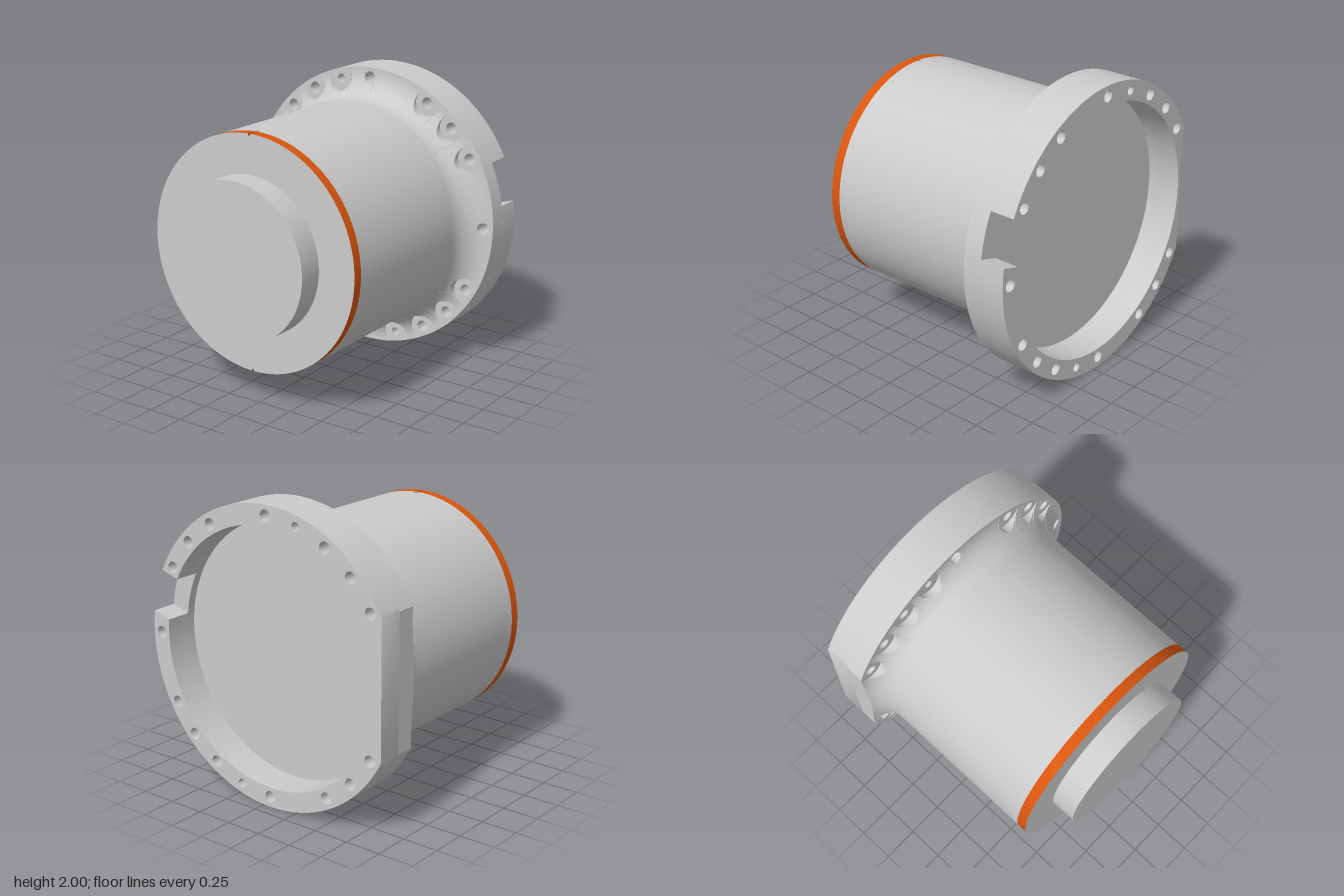
import * as THREE from 'three';
import { toCreasedNormals } from 'three/addons/utils/BufferGeometryUtils.js';

const grey = new THREE.MeshStandardMaterial({ color: 0xcccccc });
const orange = new THREE.MeshStandardMaterial({ color: 0xd9560f });
const rad = THREE.MathUtils.degToRad;

// Main radii, and depths along the axis
const R = 1, FLAT = 0.89, BARREL = 0.795, RECESS = 0.865;
const FACE = -0.61, FLOOR = -0.68, SLOT = -0.74, REAR = -0.915;
const FILLET = 0.18, PITCH = 0.93, BOLT = 0.04, SPOT = 0.09;

// Bolt pattern in degrees
const spotted = [30, 45, 60, 120, 135, 150, 210, 225, 240, 300, 315, 330];
const plain = [0, 90, 270];
const small = [105, 285];

const circle = (r, Type = THREE.Shape, x = 0, y = 0) => {
  const c = new Type();
  c.absarc(x, y, r, 0, Math.PI * 2, false);
  return c;
};

function slab(name, shape, z0, z1, material = grey) {
  const geo = new THREE.ExtrudeGeometry(shape, { depth: z1 - z0, bevelEnabled: false, curveSegments: 36 });
  geo.translate(0, 0, z0);
  const mesh = new THREE.Mesh(toCreasedNormals(geo, 0.5), material);
  mesh.name = name;
  return mesh;
}

function addBolts(shape) {
  const drill = (deg, r) => shape.holes.push(
    circle(r, THREE.Path, PITCH * Math.cos(rad(deg)), PITCH * Math.sin(rad(deg))));
  [...spotted, ...plain].forEach(a => drill(a, BOLT));
  small.forEach(a => drill(a, 0.03));
  return shape;
}

// Round flange with one flat side at -x
const flatAngle = Math.acos(-FLAT / R);
function flangeShape() {
  const s = new THREE.Shape();
  s.absarc(0, 0, R, -flatAngle, flatAngle, false);
  s.closePath();
  return addBolts(s);
}

// Rear rim, broken by a parallel-sided slot
function slottedRim() {
  const mid = rad(16.75), half = 0.152;
  const o = Math.asin(half / R), i = Math.asin(half / RECESS);
  const s = new THREE.Shape();
  s.absarc(0, 0, R, mid + o, flatAngle, false);
  s.absarc(0, 0, R, 2 * Math.PI - flatAngle, 2 * Math.PI + mid - o, false);
  s.absarc(0, 0, RECESS, 2 * Math.PI + mid - i, mid + i, true);
  s.closePath();
  return addBolts(s);
}

// Barrel end section with a fine index groove at top and bottom
function groovedCircle() {
  const w = 0.008 / BARREL, depth = 0.012;
  const s = new THREE.Shape();
  for (const a of [-Math.PI / 2, Math.PI / 2]) {
    s.absarc(0, 0, BARREL, a + w, a + Math.PI - w, false);
    for (const k of [-w, w]) {
      s.lineTo((BARREL - depth) * Math.cos(a + Math.PI + k), (BARREL - depth) * Math.sin(a + Math.PI + k));
    }
  }
  s.closePath();
  return s;
}

// Concave fillet between barrel and flange, cut away round the bolt seats
function filletGeometry() {
  const cuts = [
    ...[...spotted, ...small].map(a => ({ mid: rad(a), a: SPOT })),
    ...plain.map(a => ({ mid: rad(a), a: BOLT })),
  ].map(c => ({ ...c, half: Math.asin(c.a / PITCH) }));
  const delta = (t, mid) => Math.atan2(Math.sin(t - mid), Math.cos(t - mid));

  const angles = [0, 2 * Math.PI];
  for (let d = 2; d < 360; d += 2) {
    if (cuts.every(c => Math.abs(delta(rad(d), c.mid)) > c.half)) angles.push(rad(d));
  }
  for (const c of cuts) {
    for (let k = -8; k <= 8; k++) angles.push(c.mid + c.half * Math.sin(k / 8 * Math.PI / 2));
    angles.push(c.mid - c.half * 1.002, c.mid + c.half * 1.002);
  }
  const sorted = angles.map(t => (t < 0 ? t + 2 * Math.PI : t)).sort((a, b) => a - b);

  const outer = BARREL + FILLET, rows = 12, pos = [], index = [];
  sorted.forEach((t, i) => {
    let r = outer;
    if (Math.cos(t) < 0) r = Math.min(r, -FLAT / Math.cos(t));
    for (const c of cuts) {
      const f = delta(t, c.mid);
      if (Math.abs(f) <= c.half + 1e-6) {
        const root = Math.sqrt(Math.max(0, c.a ** 2 - (PITCH * Math.sin(f)) ** 2));
        r = Math.min(r, PITCH * Math.cos(f) - root);
      }
    }
    const end = Math.acos((outer - r) / FILLET);
    for (let j = 0; j <= rows + 1; j++) {
      const p = end * Math.min(j, rows) / rows;
      const q = outer - FILLET * Math.cos(p);
      const z = j > rows ? FACE : FACE + FILLET * (1 - Math.sin(p));
      pos.push(q * Math.cos(t), q * Math.sin(t), z);
    }
    if (i === 0) return;
    const n = rows + 2;
    for (let j = 0; j <= rows; j++) {
      const a = (i - 1) * n + j, b = i * n + j;
      index.push(a, a + 1, b, b, a + 1, b + 1);
    }
  });
  const geo = new THREE.BufferGeometry();
  geo.setAttribute('position', new THREE.Float32BufferAttribute(pos, 3));
  geo.setIndex(index);
  return toCreasedNormals(geo, 0.5);
}

export function createModel() {
  const group = new THREE.Group();
  group.name = 'flangedHousing';
  const body = new THREE.Group();
  body.name = 'housingBody';
  body.position.set(-0.055, 1, 0);
  group.add(body);

  // Flange: solid plate, closed rim, then slotted rim
  const rim = flangeShape();
  rim.holes.push(circle(RECESS, THREE.Path));
  body.add(
    slab('flangePlate', flangeShape(), FLOOR, FACE),
    slab('flangeRim', rim, SLOT, FLOOR),
    slab('slottedRim', slottedRim(), REAR, SLOT),
  );

  const fillet = new THREE.Mesh(filletGeometry(), grey);
  fillet.name = 'flangeFillet';
  body.add(fillet);

  // Barrel, coloured end band with a grey face, and front boss
  body.add(
    slab('barrel', circle(BARREL), FACE, 0.63),
    slab('barrelEnd', groovedCircle(), 0.63, 0.67),
    slab('colourBand', groovedCircle(), 0.67, 0.74, [grey, orange]),
    slab('frontBoss', circle(0.53), 0.74, 0.915),
  );
  return group;
}
